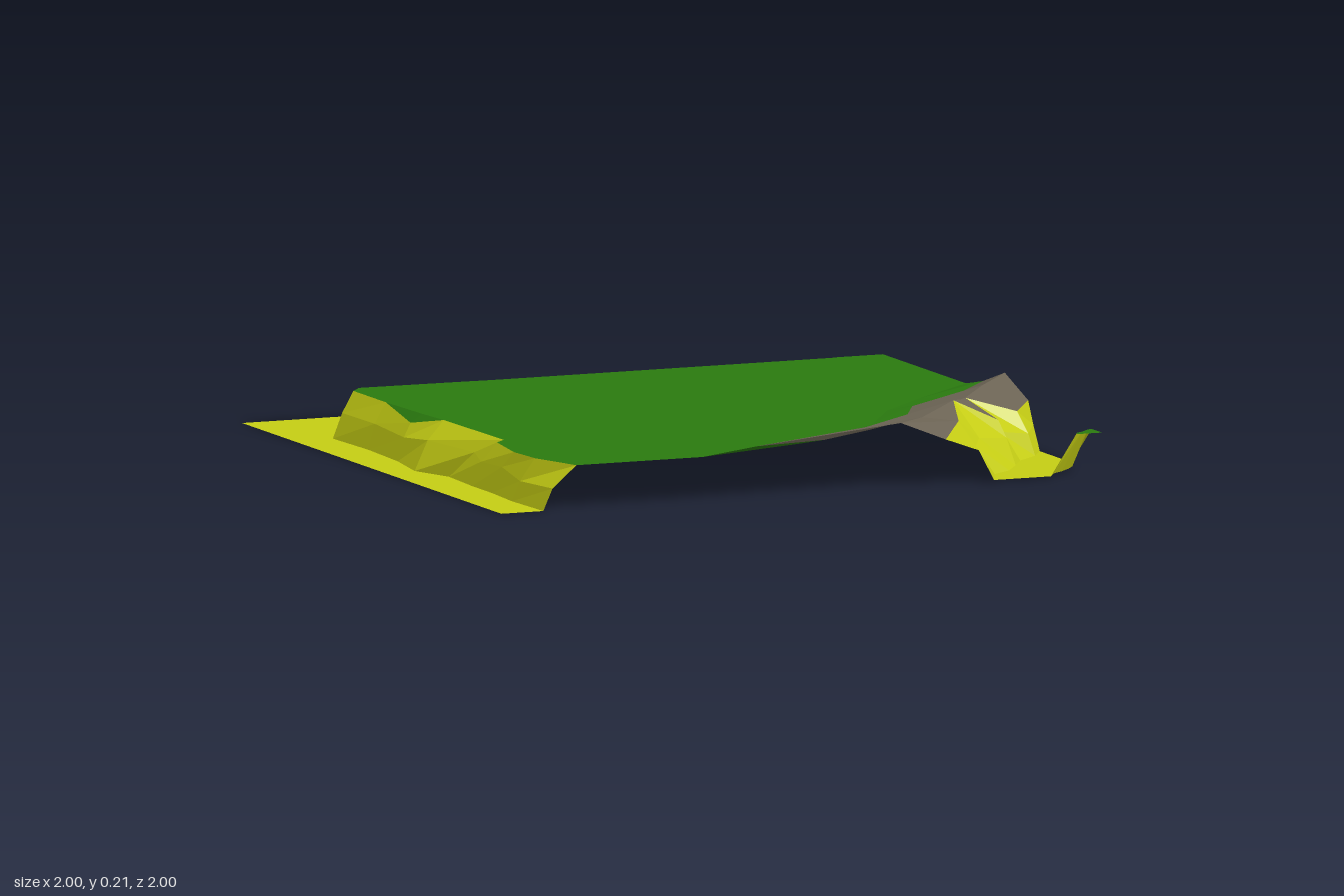
import * as THREE from 'three';

const EARTH = 0xc4cc14, GRASS = 0x2a7a0f, ROCK = 0x6b6354, TOP = 0.135;

// a point list from [x, z, y] rows, with a default height
const path = (rows, y0 = 0) => rows.map(([x, z, y = y0]) => new THREE.Vector3(x, y, z));

// every triangle is turned to face upwards
function pushTri(out, a, b, c) {
  const up = (b.z - a.z) * (c.x - a.x) - (b.x - a.x) * (c.z - a.z);
  for (const p of up >= 0 ? [a, b, c] : [a, c, b]) out.push(p.x, p.y, p.z);
}

// loft through successive paths with equal point counts
function loft(...paths) {
  const out = [];
  for (let k = 0; k + 1 < paths.length; k++) {
    const a = paths[k], b = paths[k + 1];
    for (let i = 0; i + 1 < a.length; i++) {
      pushTri(out, a[i], b[i], a[i + 1]);
      pushTri(out, b[i], b[i + 1], a[i + 1]);
    }
  }
  return out;
}

// fill an outline seen from above
function fill(points) {
  const out = [];
  const flat = points.map(p => new THREE.Vector2(p.x, p.z));
  for (const [a, b, c] of THREE.ShapeUtils.triangulateShape(flat, [])) {
    pushTri(out, points[a], points[b], points[c]);
  }
  return out;
}

export function createModel() {
  const model = new THREE.Group();
  const add = (name, positions, color) => {
    const g = new THREE.BufferGeometry();
    g.setAttribute('position', new THREE.Float32BufferAttribute(positions, 3));
    g.computeVertexNormals();
    const mesh = new THREE.Mesh(g, new THREE.MeshStandardMaterial({
      color, flatShading: true, side: THREE.DoubleSide }));
    mesh.name = name;
    model.add(mesh);
  };
  let seed = 7;
  const rand = () => (seed = (seed * 16807) % 2147483647) / 2147483647 - 0.5;

  // outer cliff: foot and grass edge, from the front left round to the back right
  const foot = path([
    [-.86, 1], [-.87, .78], [-.86, .6], [-.86, .45], [-.85, .25], [-.9, .1], [-.87, -.1],
    [-.86, -.35], [-.87, -.6], [-.78, -.76], [-.55, -.79], [-.33, -.82], [-.1, -.82],
    [.2, -.815], [.3, -.81], [.55, -.81], [.8, -.81], [.88, -.81], [1, -.81]]);
  const edge = path([
    [-.75, 1], [-.81, .82], [-.82, .68], [-.79, .48], [-.75, .44], [-.76, 0], [-.81, -.14, .11],
    [-.78, -.4], [-.78, -.65], [-.74, -.7], [-.4, -.69], [-.3, -.72, .12], [-.1, -.72, .12],
    [.25, -.685], [.26, -.74, .1], [.6, -.71, .12], [.83, -.77, .09], [.85, -.69], [1, -.69]], TOP);
  const middle = foot.map((p, i) => {
    const m = p.clone().lerp(edge[i], 0.4 + 0.25 * rand());
    m.y += 0.022 + 0.02 * rand();
    return m;
  });
  // where the grass edge droops, the level top begins further in
  const brow = edge.map(p => p.y < TOP
    ? new THREE.Vector3(Math.max(p.x, -.77), TOP, Math.max(p.z, -.685)) : p);

  add('lowGround', fill([...foot, ...path([[1, -1], [-1, -1], [-1, 1]])]), EARTH);
  add('outerCliff', loft(foot, middle, edge), EARTH);

  // plateau and the grassy foot of the ridge, from the right side round to the front
  const slopeStart = path([
    [1, -.05], [.74, .18], [.56, .36], [.42, .58], [.22, .76], [.05, .87], [-.33, 1]], TOP);
  const grassLine = path([
    [1, .08, .16], [.82, .25, .145], [.64, .37, .145], [.5, .63, .145], [.33, .76, .145],
    [.11, .92, .15], [-.15, 1, .157]]);
  add('plateau', fill([...brow, ...slopeStart]), GRASS);
  add('plateauLip', loft(edge, brow), GRASS);
  add('grassSlope', loft(slopeStart, grassLine), GRASS);

  // rocky ridge, its crest and its ragged inner margin
  const crest = path([
    [1, .25, .21], [.88, .36, .195], [.76, .5, .182], [.72, .56, .188], [.66, .64, .2],
    [.47, .84, .187], [.33, 1, .2]]);
  const margin = path([
    [1, .43, .15], [.92, .53, .135], [.76, .5, .182], [.81, .64, .13], [.66, .64, .2],
    [.6, .82, .165], [.48, 1, .14]]);
  add('ridge', loft(grassLine, crest, margin), ROCK);

  // ravine wall and floor
  const wall = path([
    [1, .47, .08], [.94, .57, .07], [.82, .62, .09], [.82, .68, .08], [.69, .77, .1],
    [.64, .86, .09], [.59, 1, .1]]);
  const floorIn = path([
    [1, .52], [.95, .6], [.87, .67], [.82, .75], [.76, .84], [.69, .89], [.64, 1]], .005);
  const floorOut = path([
    [1, .74], [.98, .8], [.97, .84], [.94, .88], [.9, .92], [.86, .95], [.83, 1]], .005);
  add('ravineWall', loft(margin, wall, floorIn), EARTH);
  add('ravineFloor', loft(floorIn, floorOut), EARTH);

  // corner hill with a small grass top
  const hillTop = path([
    [1, .92], [.985, .925], [.975, .935], [.965, .945], [.95, .96], [.93, .97], [.915, 1]], .13);
  add('cornerHill', loft(floorOut, hillTop), EARTH);
  add('cornerHillTop', fill([...hillTop, ...path([[1, 1]], .13)]), GRASS);

  return model;
}
